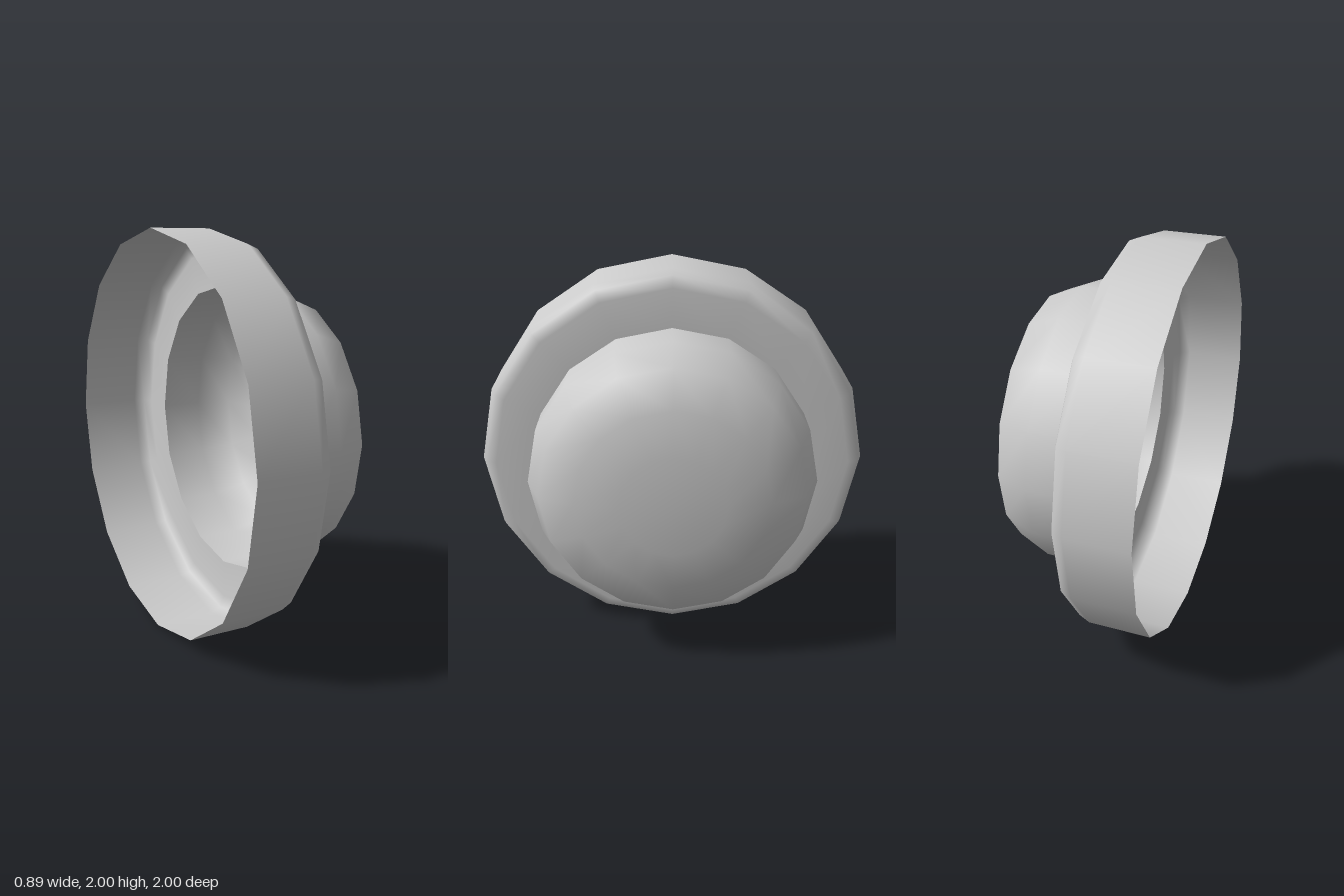
import * as THREE from 'three';

const SIDES = 16;

// Thin shell turned around the x axis; profile points are [radius, x]
function turned(name, profile, material) {
  const points = profile.map(([r, x]) => new THREE.Vector2(r, x));
  const mesh = new THREE.Mesh(new THREE.LatheGeometry(points, SIDES), material);
  mesh.name = name;
  mesh.rotation.z = -Math.PI / 2;
  mesh.position.y = 1;
  return mesh;
}

export function createModel() {
  const group = new THREE.Group();
  group.name = 'steppedCap';
  const material = new THREE.MeshStandardMaterial({ color: 0xcccccc, side: THREE.DoubleSide });

  // Wide rim, open at the back, with a rounded edge and a flat ring face
  group.add(turned('rim', [
    [1, -0.445], [1, -0.135], [0.977, -0.08], [0.92, -0.057], [0.725, -0.057],
  ], material));

  // Hollow domed knob rising from the inner edge of the ring
  group.add(turned('knob', [
    [0.725, -0.057], [0.725, 0.16], [0.655, 0.33], [0.475, 0.4], [0.26, 0.445], [0, 0.445],
  ], material));

  return group;
}
